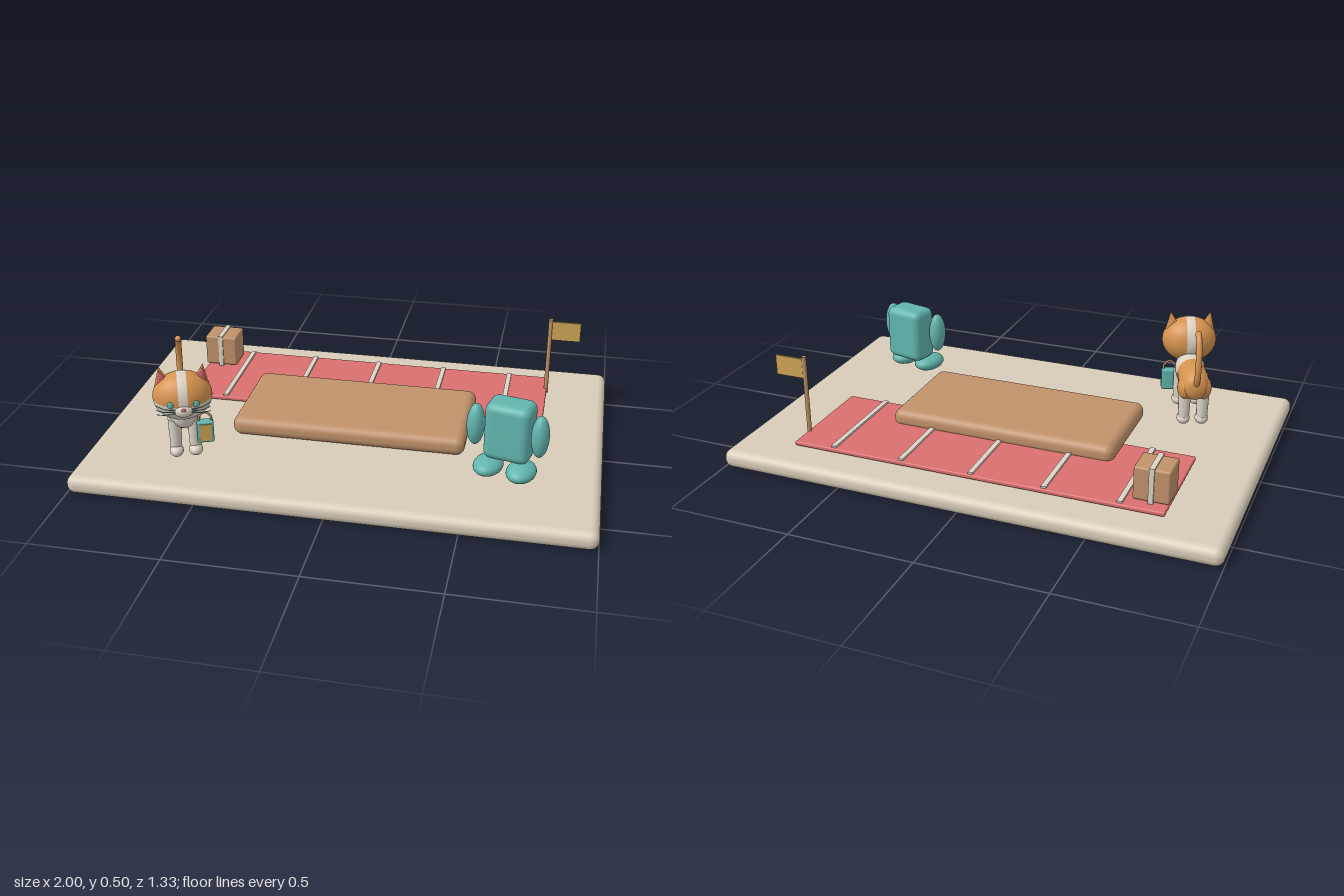
import * as THREE from 'three';
import { RoundedBoxGeometry } from 'three/addons/geometries/RoundedBoxGeometry.js';

const mat = (name, color, side = THREE.FrontSide) => {
  const m = new THREE.MeshStandardMaterial({ color, side });
  m.name = name;
  return m;
};

export function createModel() {
  const stone = mat('stone', 0xd8ccb9);
  const cream = mat('cream', 0xdcd3c6);
  const red = mat('red', 0xdb6f6f);
  const wood = mat('wood', 0xbf916a);
  const orange = mat('orange', 0xd6934f);
  const teal = mat('teal', 0x62b5ae);
  const yellow = mat('yellow', 0xcfa657);
  const pink = mat('ear pink', 0xd0606a);

  const add = (parent, name, geo, m, x = 0, y = 0, z = 0) => {
    const mesh = new THREE.Mesh(geo, m);
    mesh.name = name;
    mesh.position.set(x, y, z);
    parent.add(mesh);
    return mesh;
  };
  const group = (parent, name, x = 0, y = 0, z = 0, turn = 0) => {
    const g = new THREE.Group();
    g.name = name;
    g.position.set(x, y, z);
    g.rotation.y = turn;
    parent.add(g);
    return g;
  };
  const box = (w, h, d) => new THREE.BoxGeometry(w, h, d);
  const rbox = (w, h, d, r) => new RoundedBoxGeometry(w, h, d, 5, r);
  const ball = (a, b, c) => new THREE.SphereGeometry(1, 28, 20).scale(a, b, c);
  const tube = (pts, r, n = 24) => new THREE.TubeGeometry(
    new THREE.CatmullRomCurve3(pts.map(p => new THREE.Vector3(...p))), n, r, 10);

  const model = new THREE.Group();
  model.name = 'platformScene';

  // Ground slab, low platform and striped mat
  add(model, 'slab', rbox(2, 0.075, 1.33, 0.034), stone, 0, 0.0375, 0);
  add(model, 'platform', rbox(0.935, 0.078, 0.456, 0.034), wood, 0, 0.116, -0.004);
  add(model, 'mat', rbox(1.505, 0.018, 0.46, 0.006), red, -0.002, 0.089, -0.294);
  for (let i = 0; i < 5; i++)
    add(model, 'matStripe', box(0.02, 0.008, 0.445), cream, -0.585 + i * 0.2915, 0.102, -0.293);

  // Crate with a strap around it
  const crate = group(model, 'crate', -0.69, 0.17, -0.417);
  add(crate, 'crateBox', rbox(0.138, 0.132, 0.124, 0.008), wood);
  for (const s of [-1, 1]) {
    add(crate, 'strapSide', box(0.02, 0.142, 0.006), cream, 0, 0, s * 0.064);
    add(crate, 'strapCap', box(0.02, 0.006, 0.134), cream, 0, s * 0.068, 0);
  }

  // Flag on a pole
  const flag = group(model, 'flag', 0.747, 0, -0.417);
  add(flag, 'pole', new THREE.CylinderGeometry(0.009, 0.009, 0.342, 16), wood, 0, 0.249, 0);
  add(flag, 'pennant', box(0.12, 0.082, 0.009), yellow, 0.066, 0.368, 0);

  // Boxy teal figure with oval arms and feet
  const figure = group(model, 'tealFigure', 0.645, 0, 0.307, -0.23);
  add(figure, 'body', rbox(0.178, 0.232, 0.125, 0.032), teal, 0, 0.271, 0);
  for (const s of [-1, 1]) {
    add(figure, 'arm', ball(0.034, 0.085, 0.038), teal, s * 0.125, 0.283, 0.033);
    add(figure, 'foot', ball(0.056, 0.034, 0.076), teal, s * 0.065, 0.127, 0.042);
  }

  // Cat
  const cat = group(model, 'cat', -0.62, 0, 0.35, 0.37);
  const torso = (name, pts, m) => {
    const curve = new THREE.SplineCurve(pts.map(p => new THREE.Vector2(...p)));
    const profile = curve.getPoints(16).map(p => p.set(Math.max(0, p.x), p.y));
    const g = new THREE.LatheGeometry(profile, 28).rotateX(Math.PI / 2).scale(1, 1.1, 1);
    add(cat, name, g, m, 0, 0.262, 0);
  };
  torso('hindBody', [[0, -0.185], [0.036, -0.175], [0.056, -0.14], [0.061, -0.09], [0.058, -0.015]], orange);
  torso('chest', [[0.058, -0.015], [0.061, 0.025], [0.057, 0.065], [0.036, 0.1], [0, 0.112]], cream);
  add(cat, 'neck', ball(0.052, 0.06, 0.05), cream, 0, 0.3, 0.075);
  for (const s of [-1, 1]) {
    for (const z of [0.065, -0.122]) {
      add(cat, 'leg', new THREE.CylinderGeometry(0.026, 0.022, 0.14, 18), cream, s * 0.037, 0.175, z);
      add(cat, 'paw', ball(0.027, 0.024, 0.034), cream, s * 0.037, 0.108, z + 0.008);
    }
    add(cat, 'thigh', ball(0.033, 0.048, 0.045), orange, s * 0.036, 0.247, -0.122);
  }
  add(cat, 'tail', tube([[0, 0.27, -0.165], [0, 0.31, -0.188], [0, 0.38, -0.195],
    [0, 0.44, -0.18], [0, 0.475, -0.16], [0, 0.485, -0.14]], 0.0125, 32), orange);
  add(cat, 'tailTip', ball(0.0125, 0.0125, 0.0125), orange, 0, 0.485, -0.14);

  // Head: sphere patches around the sideways axis give the jaw, cap and stripe
  const head = group(cat, 'head', 0, 0.365, 0.111);
  const deg = Math.PI / 180;
  const patch = (name, m, p0, p1, t0, t1) => add(head, name,
    new THREE.SphereGeometry(1, 28, 20, p0 * deg, (p1 - p0) * deg, t0 * deg, (t1 - t0) * deg)
      .rotateZ(-Math.PI / 2).scale(0.112, 0.096, 0.086), m);
  patch('jaw', cream, 97, 195, 0, 180);
  patch('capLeft', orange, 195, 457, 0, 81);
  patch('capRight', orange, 195, 457, 99, 180);
  patch('stripe', cream, 195, 457, 81, 99);
  add(head, 'muzzle', ball(0.036, 0.025, 0.022), cream, 0, -0.03, 0.076);
  add(head, 'nose', ball(0.009, 0.006, 0.006), pink, 0, -0.017, 0.097);
  for (const s of [-1, 1]) {
    const ear = group(head, 'ear', s * 0.076, 0.084, -0.004);
    ear.rotation.z = -s * 0.16;
    add(ear, 'earOuter', new THREE.ConeGeometry(0.033, 0.078, 20).scale(1, 1, 0.45), orange);
    add(ear, 'earInner', new THREE.ConeGeometry(0.025, 0.064, 20).scale(1, 1, 0.4), pink, 0, -0.004, 0.008);
    add(head, 'eye', ball(0.013, 0.014, 0.006), teal, s * 0.047, -0.003, 0.077);
    for (const k of [-1, 0, 1])
      add(head, 'whisker', tube([[s * 0.03, -0.026 + k * 0.006, 0.088],
        [s * 0.07, -0.025 + k * 0.012, 0.086], [s * 0.1, -0.022 + k * 0.018, 0.07]], 0.0016, 8), teal);
  }

  // Small bag carried beside the left front leg
  const bag = group(cat, 'bag', 0.078, 0.193, 0.089);
  add(bag, 'bagBody', rbox(0.064, 0.09, 0.036, 0.008), teal);
  add(bag, 'bagPanel', box(0.046, 0.07, 0.006), yellow, 0, 0, 0.0185);
  add(bag, 'handle', tube([[-0.024, 0.04, 0], [-0.023, 0.062, 0], [0, 0.08, 0],
    [0.023, 0.062, 0], [0.024, 0.04, 0]], 0.0045), wood);

  return model;
}
